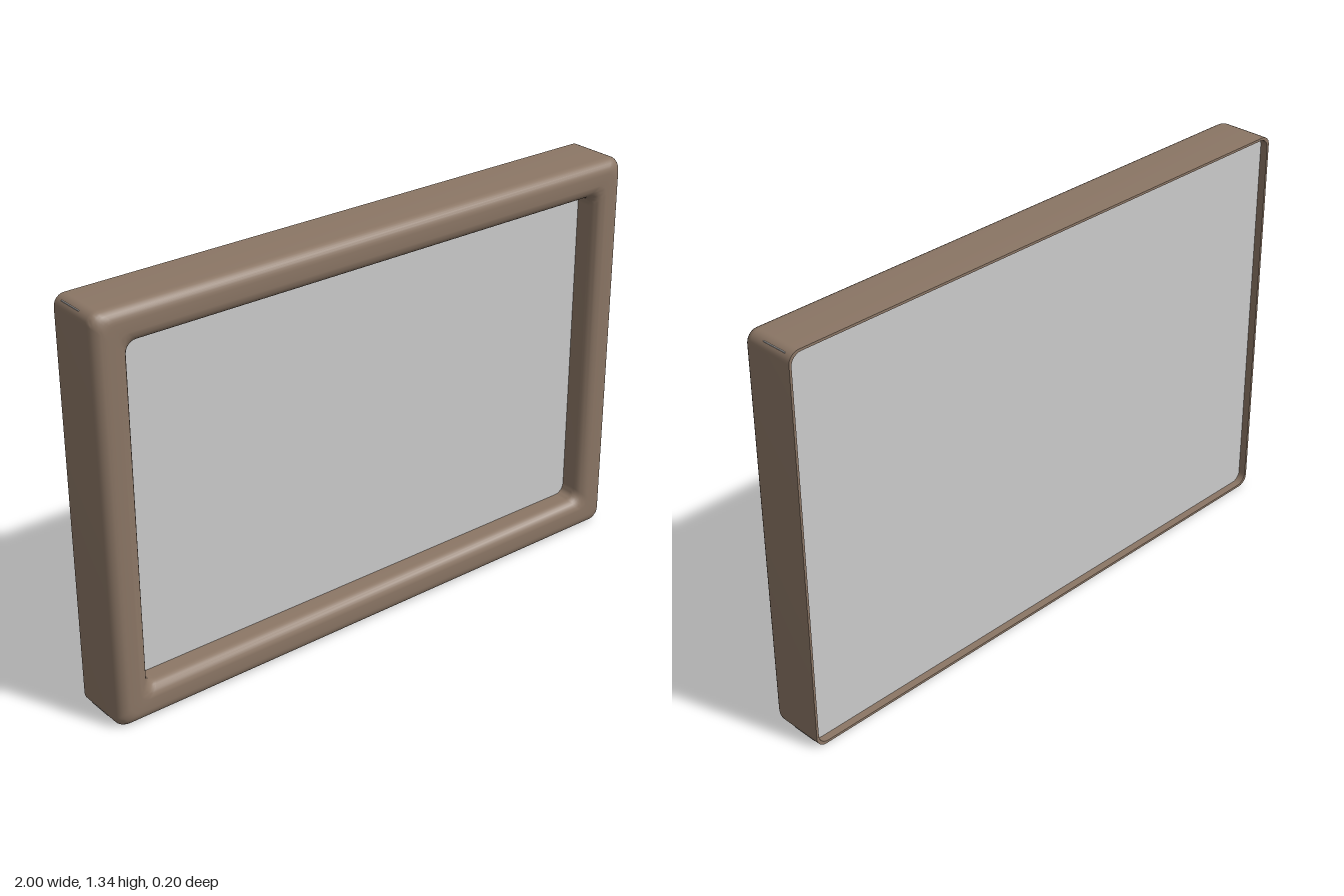
import * as THREE from 'three';
import { toCreasedNormals } from 'three/addons/utils/BufferGeometryUtils.js';

const HALF_W = 1, HEIGHT = 1.34, DEPTH = 0.1;
const BAR = 0.113, ROUND = 0.04, CORNER = 0.035;

// Rounded rectangle, counter-clockwise from the front, inset from the outer edge
function loop(inset, z) {
  const points = [], steps = 6;
  const w = HALF_W - inset - CORNER, h = HEIGHT / 2 - inset - CORNER;
  [[1, 1], [-1, 1], [-1, -1], [1, -1]].forEach(([sx, sy], q) => {
    for (let i = 0; i <= steps; i++) {
      const a = (q + i / steps) * Math.PI / 2;
      points.push([sx * w + CORNER * Math.cos(a), HEIGHT / 2 + sy * h + CORNER * Math.sin(a), z]);
    }
  });
  return points;
}

// Sweep a profile of [inset, z] points around the rectangle
function sweep(profile) {
  const loops = profile.map(([inset, z]) => loop(inset, z));
  const n = loops[0].length, index = [];
  for (let i = 0; i < loops.length - 1; i++) {
    for (let j = 0; j < n; j++) {
      const k = (j + 1) % n;
      const a = i * n + j, b = i * n + k, c = a + n, d = b + n;
      index.push(a, b, d, a, d, c);
    }
  }
  const geometry = new THREE.BufferGeometry();
  geometry.setAttribute('position', new THREE.Float32BufferAttribute(loops.flat(2), 3));
  geometry.setIndex(index);
  return toCreasedNormals(geometry, 0.7);
}

export function createModel() {
  const model = new THREE.Group();
  model.name = 'pictureFrame';

  // Frame: thin back rim, straight outer wall, rounded front, straight inner wall
  const profile = [[0.008, -0.07], [0.008, -DEPTH], [0, -DEPTH]];
  const steps = 8;
  for (let i = 0; i <= steps; i++) {
    const a = (i / steps) * Math.PI / 2;
    profile.push([ROUND * (1 - Math.cos(a)), DEPTH - ROUND + ROUND * Math.sin(a)]);
  }
  for (let i = 0; i <= steps; i++) {
    const a = (i / steps) * Math.PI / 2;
    profile.push([BAR - ROUND + ROUND * Math.sin(a), DEPTH - ROUND + ROUND * Math.cos(a)]);
  }
  profile.push([BAR, 0]);
  const frame = new THREE.Mesh(
    sweep(profile),
    new THREE.MeshStandardMaterial({ color: 0x8b7665, side: THREE.DoubleSide })
  );
  frame.name = 'frame';
  model.add(frame);

  // Panel: fills the opening and sits slightly recessed at the back
  const front = 0.015, back = -0.075;
  const panel = new THREE.Mesh(
    new THREE.BoxGeometry(1.982, HEIGHT - 0.018, front - back),
    new THREE.MeshStandardMaterial({ color: 0xcccccc })
  );
  panel.name = 'panel';
  panel.position.set(0, HEIGHT / 2, (front + back) / 2);
  model.add(panel);

  return model;
}
